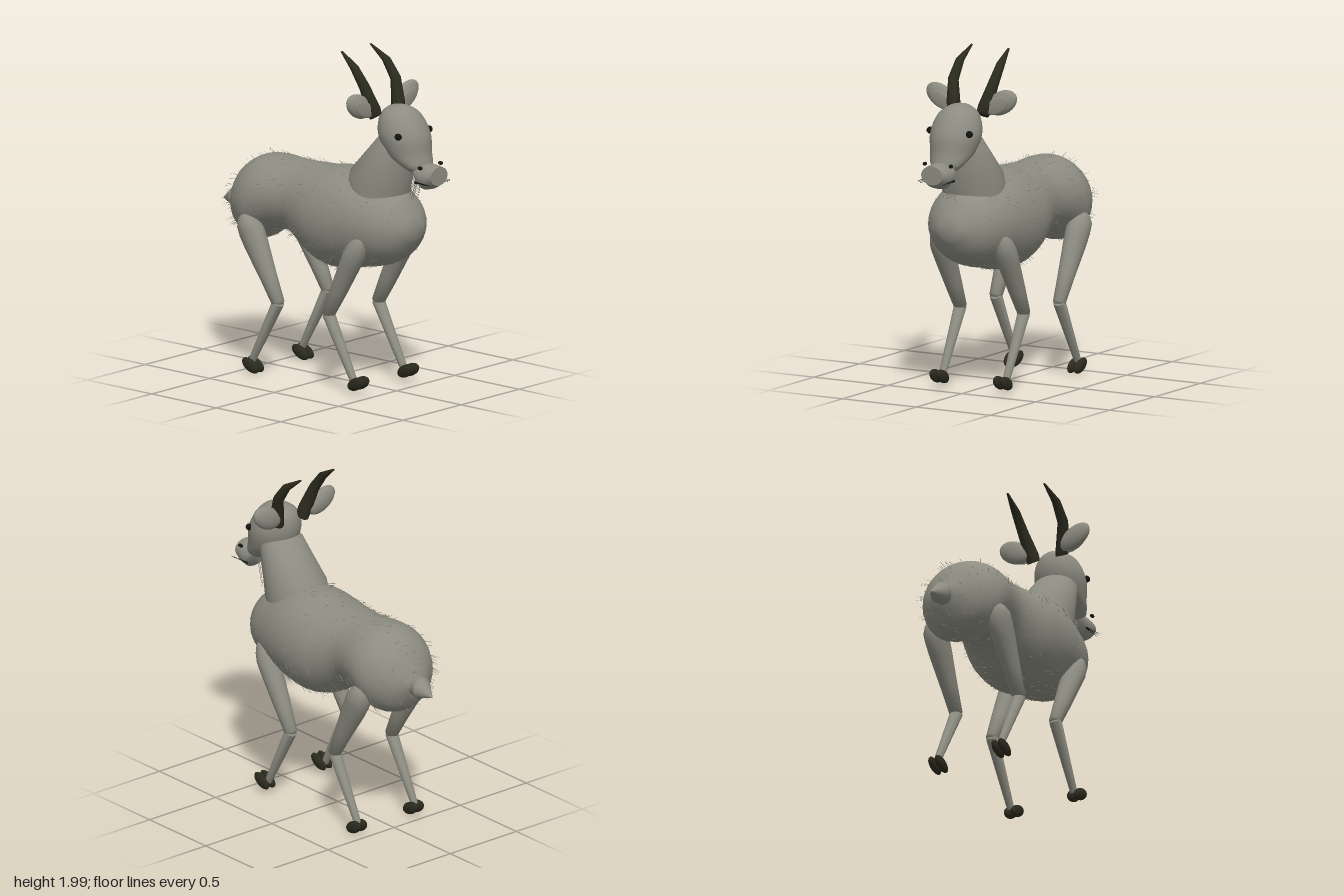
import * as THREE from 'three';
import { mergeGeometries, toCreasedNormals } from 'three/addons/utils/BufferGeometryUtils.js';

const V3 = (x, y, z) => new THREE.Vector3(x, y, z);
const coat = new THREE.MeshStandardMaterial({ color: 0x8c8c81 });
coat.name = 'greyCoat';
const horn = new THREE.MeshStandardMaterial({ color: 0x2b2a1e });
horn.name = 'darkHorn';
const black = new THREE.MeshStandardMaterial({ color: 0x131311 });
black.name = 'black';

function add(parent, name, geometry, material) {
  const mesh = new THREE.Mesh(geometry, material);
  mesh.name = name;
  parent.add(mesh);
  return mesh;
}

// Catmull-Rom subdivision of rows of numbers
function refine(rows, steps) {
  const out = [];
  for (let i = 0; i < rows.length - 1; i++) {
    const a = rows[Math.max(i - 1, 0)], b = rows[i], c = rows[i + 1], d = rows[Math.min(i + 2, rows.length - 1)];
    for (let s = 0; s < steps; s++) {
      const t = s / steps;
      out.push(b.map((_, k) => 0.5 * (2 * b[k] + (c[k] - a[k]) * t
        + (2 * a[k] - 5 * b[k] + 4 * c[k] - d[k]) * t * t
        + (3 * b[k] - a[k] - 3 * c[k] + d[k]) * t * t * t)));
    }
  }
  out.push(rows[rows.length - 1]);
  return out.map(r => [r[0], r[1], r[2], Math.max(r[3], 0), Math.max(r[4], 0)]);
}

// Elliptical sections [x, y, z, halfWidth, halfDepth] skinned along a direction
function loft(rings, dir, sides = 24, crease = 0.8) {
  const D = dir.clone().normalize();
  const U = V3(1, 0, 0).addScaledVector(D, -D.x).normalize();
  const W = D.clone().cross(U);
  const first = rings[0], last = rings[rings.length - 1];
  const all = [[...first.slice(0, 3), 0, 0], ...rings, [...last.slice(0, 3), 0, 0]];
  const pos = [], idx = [];
  all.forEach(([x, y, z, a, b], i) => {
    for (let j = 0; j < sides; j++) {
      const t = j / sides * Math.PI * 2;
      const p = V3(x, y, z).addScaledVector(U, a * Math.cos(t)).addScaledVector(W, b * Math.sin(t));
      pos.push(p.x, p.y, p.z);
      if (i < all.length - 1) {
        const p0 = i * sides + j, p1 = i * sides + (j + 1) % sides;
        idx.push(p0, p1, p0 + sides, p1, p1 + sides, p0 + sides);
      }
    }
  });
  const g = new THREE.BufferGeometry();
  g.setAttribute('position', new THREE.Float32BufferAttribute(pos, 3));
  g.setIndex(idx);
  return toCreasedNormals(g, crease);
}

// Thin tapered strand between two points
function strand(a, b, r) {
  const d = b.clone().sub(a);
  const g = new THREE.CylinderGeometry(r * 0.3, r, d.length(), 4, 1);
  g.applyQuaternion(new THREE.Quaternion().setFromUnitVectors(V3(0, 1, 0), d.clone().normalize()));
  const m = a.clone().add(b).multiplyScalar(0.5);
  return g.translate(m.x, m.y, m.z);
}

function ellipsoid(parent, name, material, p, r, rot = [0, 0, 0]) {
  const m = add(parent, name, new THREE.SphereGeometry(1, 20, 14), material);
  m.position.set(...p);
  m.scale.set(...r);
  m.rotation.set(...rot);
  return m;
}

// Body stations: z, bottom, top, half width
const BODY = [
  [-0.71, 0.95, 1.01, 0.05], [-0.68, 0.88, 1.08, 0.11], [-0.61, 0.785, 1.19, 0.2], [-0.5, 0.755, 1.255, 0.255],
  [-0.4, 0.81, 1.265, 0.255], [-0.3, 0.84, 1.26, 0.235], [-0.2, 0.82, 1.26, 0.225], [-0.1, 0.75, 1.265, 0.25],
  [0, 0.7, 1.27, 0.28], [0.1, 0.68, 1.285, 0.29], [0.2, 0.69, 1.29, 0.288], [0.3, 0.715, 1.28, 0.275],
  [0.4, 0.735, 1.25, 0.255], [0.5, 0.77, 1.21, 0.225], [0.58, 0.83, 1.15, 0.17], [0.645, 0.93, 1.04, 0.075],
].map(([z, lo, hi, w]) => [0, (lo + hi) / 2, z, w, (hi - lo) / 2]);

function addLeg(root, side, name, hip, knee, ankle, thigh, hoof, tilt) {
  const x = side * 0.215;
  const leg = new THREE.Group();
  leg.name = name;
  const at = (t, r, w = r) => [x, hip[1] + (knee[1] - hip[1]) * t, hip[0] + (knee[0] - hip[0]) * t, w, r];
  add(leg, 'upperLeg', loft([at(-0.02, 0.02), at(0.02, thigh * 0.6), at(0.1, thigh * 0.88), at(0.2, thigh, 0.07),
    at(0.34, thigh * 0.95, 0.066), at(0.7, 0.052, 0.05), at(1, 0.038), at(1.03, 0.025)],
  V3(0, knee[1] - hip[1], knee[0] - hip[0]), 16, 1), coat);
  add(leg, 'lowerLeg', loft([[x, knee[1] + 0.015, knee[0], 0.028, 0.028], [x, knee[1], knee[0], 0.037, 0.037],
    [x, ankle[1], ankle[0], 0.021, 0.021]], V3(0, ankle[1] - knee[1], ankle[0] - knee[0]), 16), coat);
  for (const s of [-1, 1])
    ellipsoid(leg, 'hoof', horn, [x + s * 0.023, hoof[1], hoof[0]], [0.023, 0.036, 0.066], [tilt, 0, 0]);
  root.add(leg);
}

export function createModel() {
  const root = new THREE.Group();
  root.name = 'hornedAnimal';

  // Torso, neck, skull and muzzle
  const torso = refine(BODY, 3);
  add(root, 'body', loft(torso, V3(0, 0, 1), 32, 1), coat);
  add(root, 'neck', loft([[0, 1.18, 0.36, 0.185, 0.185], [0, 1.25, 0.377, 0.182, 0.183],
    [0, 1.485, 0.506, 0.135, 0.111], [0, 1.53, 0.53, 0.1, 0.08]], V3(0, 0.335, 0.105), 28), coat);
  add(root, 'head', loft(refine([[0, 1.715, 0.53, 0.01, 0.01], [0, 1.7, 0.53, 0.06, 0.075], [0, 1.65, 0.535, 0.12, 0.125],
    [0, 1.55, 0.56, 0.15, 0.155], [0, 1.45, 0.592, 0.133, 0.138], [0, 1.38, 0.655, 0.103, 0.09],
    [0, 1.34, 0.685, 0.06, 0.05]], 4), V3(0, -1, 0), 28, 1), coat);
  add(root, 'muzzle', loft([[0, 1.37, 0.66, 0.06, 0.04], [0, 1.33, 0.72, 0.088, 0.065], [0, 1.322, 0.745, 0.09, 0.078],
    [0, 1.326, 0.79, 0.085, 0.07], [0, 1.335, 0.83, 0.072, 0.055]], V3(0, 0, 1), 24), coat);

  // Tail: short stub with a pointed tuft
  add(root, 'tail', loft([[0, 0.965, -0.66, 0.05, 0.055], [0, 0.965, -0.745, 0.064, 0.064],
    [0, 0.935, -0.84, 0.003, 0.003]], V3(0, 0, -1), 20, 0.5), coat);

  for (const s of [-1, 1]) {
    const side = s > 0 ? 'left' : 'right';
    // Ears with an inner shell
    ellipsoid(root, side + 'Ear', coat, [s * 0.205, 1.715, 0.39], [0.108, 0.067, 0.036], [0, 0, s * 0.5]);
    ellipsoid(root, side + 'InnerEar', coat, [s * 0.19, 1.7, 0.423], [0.085, 0.045, 0.01], [0, 0, s * 0.5]);
    // Backswept horn
    add(root, side + 'Horn', loft([[s * 0.095, 1.64, 0.425, 0.038, 0.04], [s * 0.106, 1.68, 0.417, 0.042, 0.044],
      [s * 0.136, 1.82, 0.37, 0.031, 0.032], [s * 0.138, 1.92, 0.295, 0.025, 0.025],
      [s * 0.125, 1.995, 0.185, 0.006, 0.006]], V3(s * 0.03, 0.33, -0.2), 10, 0.6), horn);
    // Face details
    ellipsoid(root, side + 'Eye', black, [s * 0.133, 1.56, 0.632], [0.02, 0.02, 0.022]);
    ellipsoid(root, side + 'Nostril', black, [s * 0.088, 1.388, 0.762], [0.01, 0.011, 0.018]);
    add(root, side + 'Whiskers', mergeGeometries([-1, 0, 1].map(i =>
      strand(V3(s * 0.08, 1.294 + i * 0.004, 0.71), V3(s * (0.086 + i * 0.012), 1.294 + i * 0.005, 0.835), 0.003))), black);
    // Legs
    addLeg(root, s, side + 'FrontLeg', [0.42, 0.935], [0.165, 0.45], [0.365, 0.075], 0.066, [0.397, 0.073], -0.45);
    addLeg(root, s, side + 'HindLeg', [-0.48, 0.935], [-0.225, 0.45], [-0.43, 0.07], 0.08, [-0.42, 0.05], 0.45);
  }

  let seed = 7;
  const rand = () => (seed = (seed * 16807) % 2147483647) / 2147483647;

  // Beard under the chin
  const beard = [];
  for (let i = 0; i < 22; i++) {
    const x = (rand() - 0.5) * 0.08;
    beard.push(strand(V3(x, 1.35, 0.68), V3(x * 1.2, 1.15 + rand() * 0.05, 0.625 + rand() * 0.01), 0.002));
  }
  add(root, 'beard', mergeGeometries(beard), coat);

  // Coarse hairs swept back over the torso
  const hairs = [];
  for (let i = 0; i < 480; i++) {
    const [, y, z, w, h] = torso[2 + Math.floor(rand() * (torso.length - 4))];
    const t = rand() * Math.PI * 2;
    const base = V3(w * Math.cos(t), y + h * Math.sin(t), z + (rand() - 0.5) * 0.02);
    const out = V3(Math.cos(t) / w, Math.sin(t) / h, 0).normalize();
    const sweep = V3((rand() - 0.5) * 0.01, -0.02, -0.03 - rand() * 0.02);
    sweep.addScaledVector(out, -sweep.dot(out));
    const tip = base.clone().add(sweep).addScaledVector(out, 0.01 + rand() * 0.015);
    hairs.push(strand(base, tip, 0.0014));
  }
  add(root, 'hairs', mergeGeometries(hairs), coat);
  return root;
}
